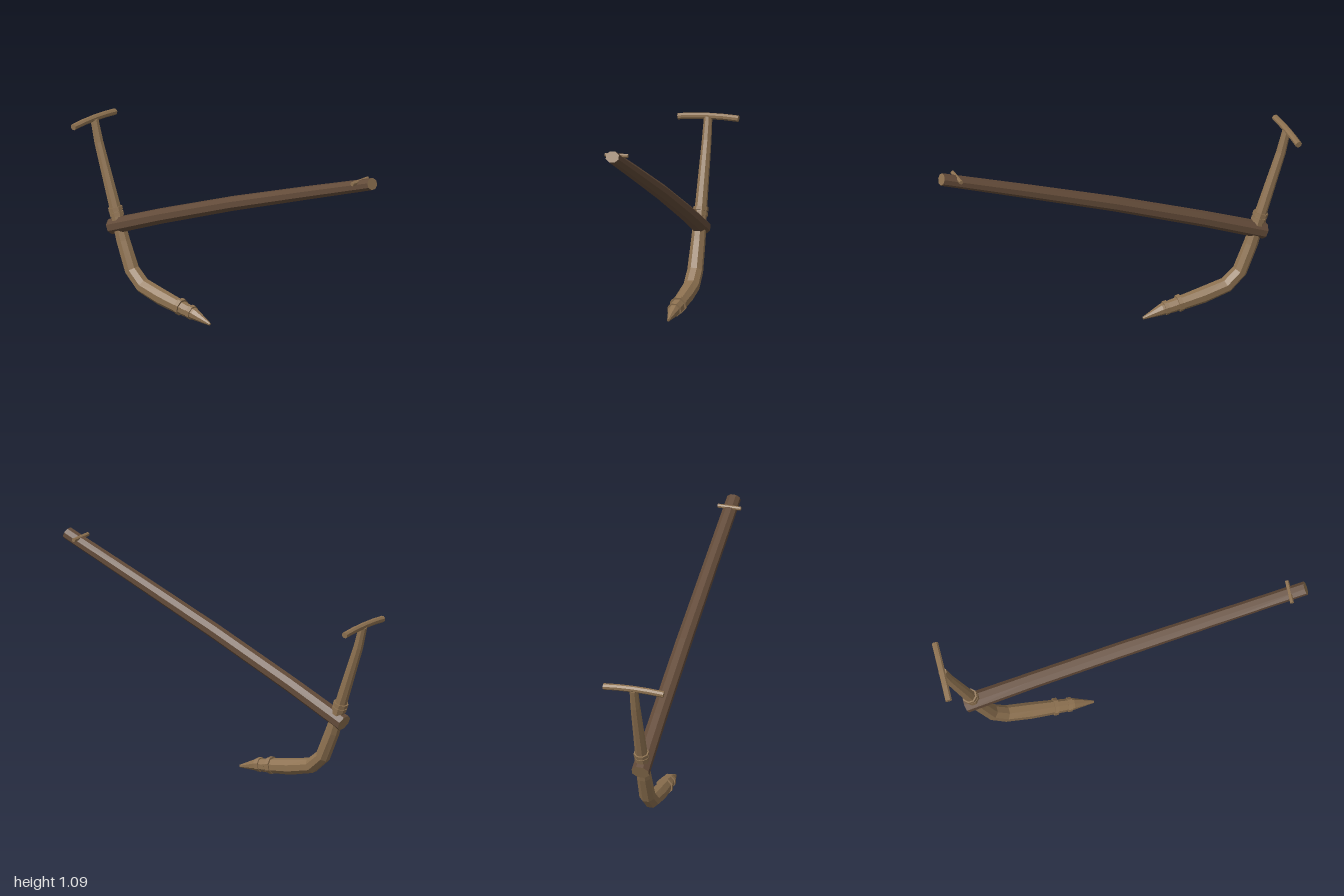
import * as THREE from 'three';

const mat = (name, color) => {
  const m = new THREE.MeshStandardMaterial({ color, flatShading: true });
  m.name = name;
  return m;
};

// Sweeps an eight-sided section along a path of [x, y, z, halfWidth, halfDepth].
// side is the fixed width axis; sides use group 0 and end caps group 1.
function sweep(path, side, sides = 8) {
  const pts = path.map(p => new THREE.Vector3(p[0], p[1], p[2]));
  const pos = [], body = [], caps = [];
  const n = path.length;
  pts.forEach((p, i) => {
    const t = new THREE.Vector3();
    if (i > 0) t.add(p.clone().sub(pts[i - 1]).normalize());
    if (i < n - 1) t.add(pts[i + 1].clone().sub(p).normalize());
    t.normalize();
    const v = t.clone().cross(side).normalize();
    const k = 1 / Math.cos(Math.PI / sides);
    for (let j = 0; j < sides; j++) {
      const a = (j + 0.5) / sides * Math.PI * 2;
      const q = p.clone()
        .addScaledVector(side, Math.cos(a) * path[i][3] * k)
        .addScaledVector(v, Math.sin(a) * path[i][4] * k);
      pos.push(q.x, q.y, q.z);
    }
  });
  for (let i = 0; i < n - 1; i++) {
    for (let j = 0; j < sides; j++) {
      const a = i * sides + j, b = i * sides + (j + 1) % sides;
      body.push(a, b, a + sides, b, b + sides, a + sides);
    }
  }
  const last = (n - 1) * sides;
  for (let j = 1; j < sides - 1; j++) {
    caps.push(0, j + 1, j, last, last + j, last + j + 1);
  }
  const indexed = new THREE.BufferGeometry();
  indexed.setAttribute('position', new THREE.Float32BufferAttribute(pos, 3));
  indexed.setIndex([...body, ...caps]);
  const geo = indexed.toNonIndexed();
  geo.addGroup(0, body.length, 0);
  geo.addGroup(body.length, caps.length, 1);
  geo.computeVertexNormals();
  return geo;
}

export function createModel() {
  const group = new THREE.Group();
  const bark = mat('dark beam wood', 0x634b39);
  const wood = mat('pale wood', 0x8d7150);
  const X = new THREE.Vector3(1, 0, 0), Z = new THREE.Vector3(0, 0, 1);

  const add = (name, path, side, bodyMat = wood) => {
    const mesh = new THREE.Mesh(sweep(path, side), [bodyMat, wood]);
    mesh.name = name;
    group.add(mesh);
  };

  // Long, slightly arched draught beam with pale cut ends
  add('beam', [
    [0, 1.073, 0.988, 0.035, 0.03],
    [0, 0.905, 0.5, 0.037, 0.034],
    [0, 0.73, 0, 0.04, 0.037],
    [0, 0.542, -0.5, 0.042, 0.039],
    [0, 0.402, -0.85, 0.046, 0.041],
  ], X, bark);

  // Hitch peg through the beam tip
  add('hitchPeg', [[-0.063, 1.067, 0.9, 0.01, 0.01], [0.063, 1.067, 0.9, 0.01, 0.01]], Z);

  // Stilt curving down into the sole
  add('stilt', [
    [0, 0.97, -0.978, 0.021, 0.021],
    [0, 0.85, -0.947, 0.024, 0.024],
    [0, 0.5, -0.828, 0.031, 0.03],
    [0, 0.34, -0.775, 0.036, 0.036],
    [0, 0.19, -0.712, 0.04, 0.037],
    [0, 0.12, -0.635, 0.041, 0.039],
    [0, 0.085, -0.5, 0.041, 0.041],
    [0, 0.063, -0.38, 0.036, 0.037],
    [0, 0.052, -0.3, 0.03, 0.031],
  ], X);

  // Tapered share point
  add('share', [
    [0, 0.056, -0.34, 0.034, 0.034],
    [0, 0.046, -0.27, 0.029, 0.03],
    [0, 0.014, -0.16, 0.006, 0.007],
  ], X);

  // Bindings round the share
  for (const [y, z, r] of [[0.064, -0.368, 0.043], [0.051, -0.292, 0.036]]) {
    add('shareBinding', [[0, y - 0.002, z - 0.011, r, r], [0, y - 0.005, z + 0.011, r, r]].map(
      (p, i) => [p[0], y + (i ? -0.002 : 0.002), p[2], p[3], p[4]]), X);
  }

  // Bindings round the stilt, just above the beam
  for (const s of [0, 1]) {
    const y = 0.478 + s * 0.026, z = -0.82 - s * 0.009, r = 0.037 + s * 0.001;
    add('stiltBinding', [[0, y + 0.01, z - 0.003, r, r], [0, y - 0.01, z + 0.003, r, r]], X);
  }

  // Bowed crossbar handle
  const bar = [-0.165, -0.085, 0, 0.085, 0.165].map(
    x => [x, 0.976 - 0.3 * x * x, -0.981, 0.017, 0.016]);
  add('handle', bar, Z);

  return group;
}
